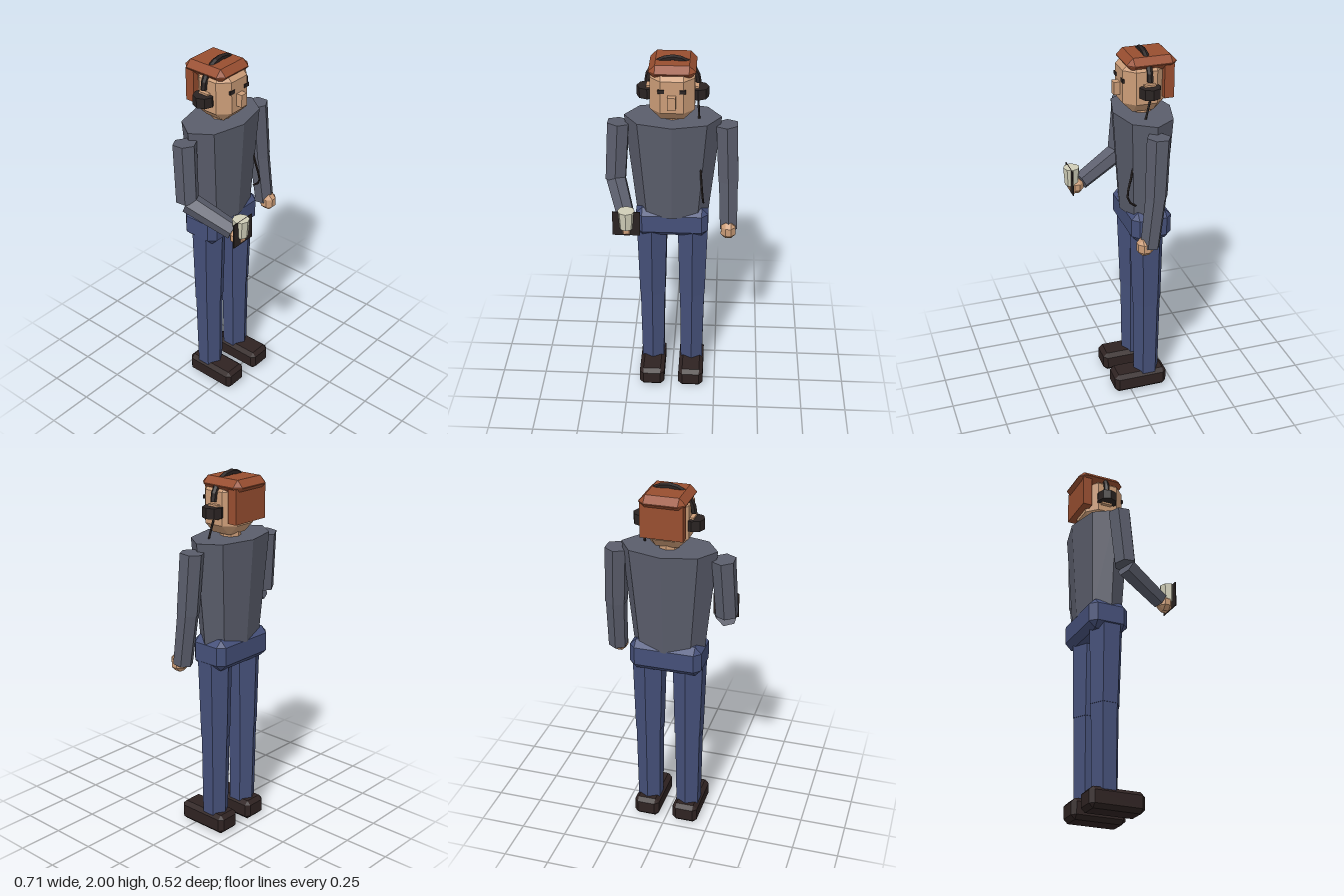
import * as THREE from 'three';
import { ConvexGeometry } from 'three/addons/geometries/ConvexGeometry.js';

function mat(name, color, extra = {}) {
  const m = new THREE.MeshStandardMaterial({ color, flatShading: true, ...extra });
  m.name = name;
  return m;
}

// Box with all edges cut at 45 degrees, given by its min and max corners
function chamferBox(min, max, b) {
  const c = min.map((v, i) => (v + max[i]) / 2);
  const h = min.map((v, i) => (max[i] - v) / 2);
  const pts = [];
  for (const sx of [-1, 1]) for (const sy of [-1, 1]) for (const sz of [-1, 1]) {
    for (let axis = 0; axis < 3; axis++) {
      const [x, y, z] = h.map((v, i) => (i === axis ? v : v - b));
      pts.push(new THREE.Vector3(c[0] + sx * x, c[1] + sy * y, c[2] + sz * z));
    }
  }
  return new ConvexGeometry(pts);
}

function box(min, max) {
  const g = new THREE.BoxGeometry(max[0] - min[0], max[1] - min[1], max[2] - min[2]);
  return g.translate(...min.map((v, i) => (v + max[i]) / 2));
}

// Six-sided limb section between two points, upper point first
function limb(top, bottom, rTop, rBottom) {
  const a = new THREE.Vector3(...top), b = new THREE.Vector3(...bottom);
  const d = a.clone().sub(b);
  const g = new THREE.CylinderGeometry(rTop, rBottom, d.length(), 6);
  g.applyQuaternion(new THREE.Quaternion().setFromUnitVectors(new THREE.Vector3(0, 1, 0), d.normalize()));
  return g.translate(...a.add(b).multiplyScalar(0.5).toArray());
}

export function createModel() {
  const model = new THREE.Group();
  model.name = 'standingMan';
  const skin = mat('skin', 0xcc9d78);
  const hair = mat('rustBrown', 0x984e30);
  const shirt = mat('greyShirt', 0x5a5d6b);
  const jeans = mat('blueJeans', 0x455079);
  const shoe = mat('darkShoe', 0x2f2322);
  const black = mat('black', 0x2a2322);
  const cream = mat('cream', 0xd0ceb8);

  const add = (name, geometry, material) => {
    const mesh = new THREE.Mesh(geometry, material);
    mesh.name = name;
    model.add(mesh);
    return mesh;
  };

  // Torso and hips
  const torso = new THREE.CylinderGeometry(0.255, 0.195, 0.56, 8);
  torso.scale(1, 1, 0.61).translate(0, 1.38, -0.105);
  add('torso', torso, shirt);
  add('hips', chamferBox([-0.198, 0.97, -0.22], [0.195, 1.14, 0], 0.035), jeans);

  // Legs and shoes
  for (const [side, s] of [['left', 1], ['right', -1]]) {
    const x = 0.112 * s;
    add(side + 'Thigh', limb([x, 1.02, -0.1], [x, 0.56, -0.105], 0.095, 0.082), jeans);
    add(side + 'Shin', limb([x, 0.57, -0.105], [x, 0.1, -0.105], 0.079, 0.072), jeans);
    add(side + 'Shoe', chamferBox([x - 0.071, 0, -0.21], [x + 0.071, 0.112, 0.094], 0.022), shoe);
  }

  // Hanging left arm
  add('leftUpperArm', limb([0.283, 1.62, -0.1], [0.298, 1.3, -0.085], 0.064, 0.061), shirt);
  add('leftForearm', limb([0.298, 1.31, -0.085], [0.306, 1.02, -0.052], 0.058, 0.053), shirt);
  add('leftHand', chamferBox([0.265, 0.975, -0.068], [0.345, 1.07, 0.017], 0.025), skin);

  // Raised right arm
  add('rightUpperArm', limb([-0.285, 1.62, -0.1], [-0.303, 1.3, -0.075], 0.064, 0.061), shirt);
  add('rightForearm', limb([-0.3, 1.29, -0.07], [-0.225, 1.178, 0.165], 0.058, 0.05), shirt);
  add('rightHand', chamferBox([-0.265, 1.115, 0.155], [-0.185, 1.2, 0.235], 0.025), skin);

  // Cup and the thin plate across it
  const cup = new THREE.CylinderGeometry(0.045, 0.038, 0.1, 8);
  add('cup', cup.translate(-0.225, 1.22, 0.217), cream);
  add('plate', box([-0.296, 1.13, 0.225], [-0.153, 1.27, 0.23]), black);

  // Head
  add('neck', new THREE.CylinderGeometry(0.052, 0.055, 0.12, 8).translate(0, 1.68, -0.105), skin);
  add('head', chamferBox([-0.115, 1.675, -0.205], [0.115, 1.96, 0.018], 0.056), skin);
  add('nose', box([-0.021, 1.762, 0.01], [0.021, 1.83, 0.051]), skin);
  add('topHair', chamferBox([-0.122, 1.9, -0.26], [0.12, 1.972, 0.005], 0.034), hair);
  add('backHair', box([-0.112, 1.75, -0.24], [0.112, 1.93, -0.188]), hair);

  // Eyes, ears and ear cups
  for (const [side, s] of [['left', 1], ['right', -1]]) {
    const eye = new THREE.BoxGeometry(0.034, 0.02, 0.009);
    add(side + 'Eye', eye.translate(0.055 * s, 1.85, 0.017), black);
    const ear = new THREE.BoxGeometry(0.03, 0.075, 0.06);
    add(side + 'Ear', ear.translate(0.121 * s, 1.802, -0.105), skin);
    const earCup = new THREE.CylinderGeometry(0.056, 0.056, 0.055, 8);
    add(side + 'EarCup', earCup.translate(0.13 * s, 1.802, -0.105), black);
  }

  // Headband and cable
  const band = new THREE.TorusGeometry(0.13, 0.016, 6, 10, Math.PI);
  add('headband', band.translate(0, 1.854, -0.105), black);
  const path = new THREE.CatmullRomCurve3([
    [0.13, 1.76, -0.106], [0.137, 1.66, -0.08], [0.152, 1.37, -0.003], [0.165, 1.23, 0.022], [0.168, 1.19, -0.02],
  ].map((p) => new THREE.Vector3(...p)));
  add('cable', new THREE.TubeGeometry(path, 16, 0.006, 5), black);

  return model;
}
